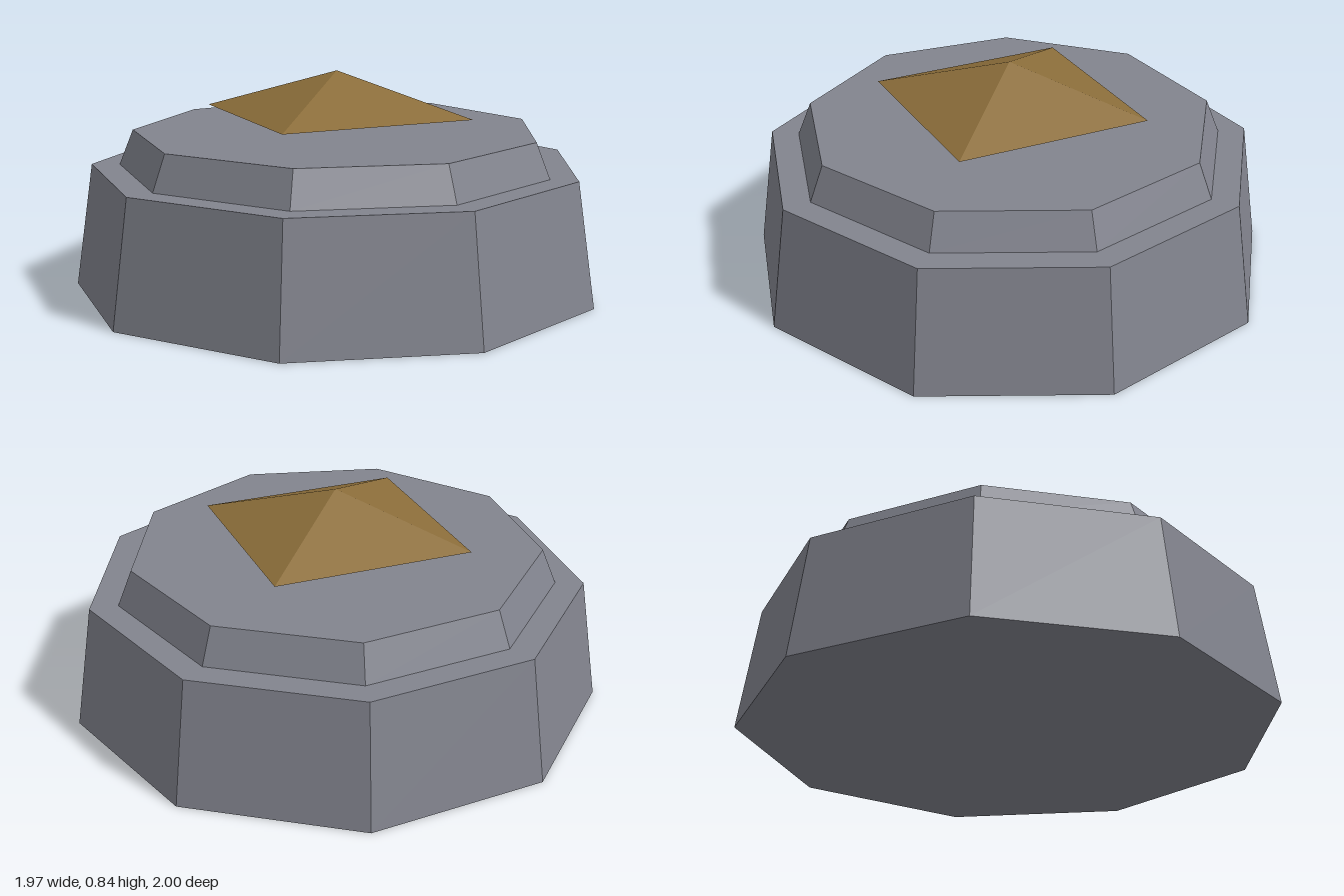
import * as THREE from 'three';

export function createModel() {
  const group = new THREE.Group();
  const stone = new THREE.MeshStandardMaterial({ color: 0x82848e, flatShading: true });
  stone.name = 'grey stone';
  const gold = new THREE.MeshStandardMaterial({ color: 0x8c6e3a, flatShading: true });
  gold.name = 'dull gold';

  // Tapered prism standing between two heights
  function tier(name, material, sides, rTop, rBottom, y0, y1, start) {
    const geometry = new THREE.CylinderGeometry(rTop, rBottom, y1 - y0, sides, 1, false, start);
    const mesh = new THREE.Mesh(geometry, material);
    mesh.name = name;
    // A nine-sided ring is off-centre when its bounds are centred
    mesh.position.set(-0.031, (y0 + y1) / 2, 0);
    group.add(mesh);
  }

  // Two nine-sided steps with a corner towards +x
  tier('lowerStep', stone, 9, 0.946, 1.0154, 0, 0.475, Math.PI / 2);
  tier('upperStep', stone, 9, 0.784, 0.838, 0.475, 0.61, Math.PI / 2);

  // Floating four-sided cap
  tier('pyramidCap', gold, 4, 0, 0.541, 0.68, 0.84, 0);

  return group;
}
